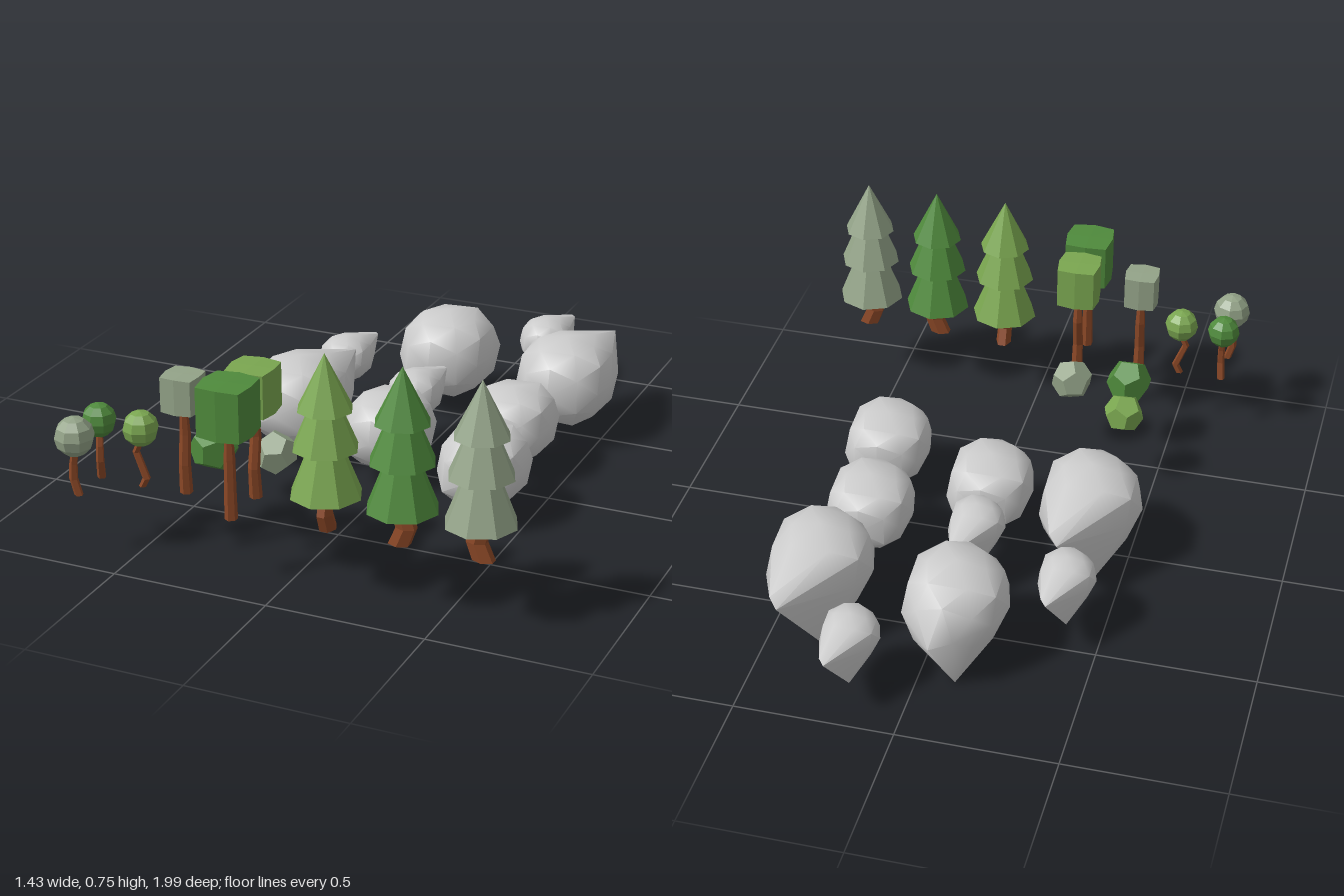
import * as THREE from 'three';
import { toCreasedNormals } from 'three/addons/utils/BufferGeometryUtils.js';
import { ConvexGeometry } from 'three/addons/geometries/ConvexGeometry.js';

const flat = (color) => new THREE.MeshStandardMaterial({ color, flatShading: true });
const dark = flat(0x4f8a3c), light = flat(0x7aa650), sage = flat(0x93a388), bark = flat(0x8a4726);
const stone = new THREE.MeshStandardMaterial({ color: 0xcccccc });
const GROUND = 0.205; // height at which all plants stand

function add(parent, name, geometry, material, x = 0, y = 0, z = 0) {
  const mesh = new THREE.Mesh(geometry, material);
  mesh.name = name;
  mesh.position.set(x, y, z);
  parent.add(mesh);
  return mesh;
}

function plant(parent, name, x, z, turn = 0) {
  const group = new THREE.Group();
  group.name = name;
  group.position.set(x, GROUND, z);
  group.rotation.y = turn;
  parent.add(group);
  return group;
}

// Bent trunk: one [x, y, z, radius] ring per path point
function trunkGeometry(path, sides = 6) {
  const geo = new THREE.CylinderGeometry(1, 1, 1, sides, path.length - 1);
  const pos = geo.attributes.position;
  for (let i = 0; i < pos.count; i++) {
    const ring = Math.round((pos.getY(i) + 0.5) * (path.length - 1));
    const [x, y, z, r] = path[ring];
    pos.setXYZ(i, x + pos.getX(i) * r, y, z + pos.getZ(i) * r);
  }
  geo.computeVertexNormals();
  return geo;
}

// Conifer: kinked trunk and three stacked cones
function pine(parent, x, z, leaf, turn) {
  const tree = plant(parent, 'pineTree', x, z, turn);
  const trunk = add(tree, 'trunk', trunkGeometry(
    [[-0.01, 0, 0, 0.036], [0.012, 0.055, 0, 0.034], [-0.006, 0.12, 0, 0.034]]), bark);
  trunk.scale.z = 0.72;
  for (const [base, radius, height] of [[0.113, 0.11, 0.28], [0.26, 0.1, 0.24], [0.38, 0.084, 0.17]]) {
    add(tree, 'foliageTier', new THREE.ConeGeometry(radius, height, 8), leaf, 0, base + height / 2, 0);
  }
}

// Cube foliage with the upright edges pulled in
function cubeFoliage(w, h) {
  const geo = new THREE.BoxGeometry(w, h, w, 2, 2, 2);
  const pos = geo.attributes.position;
  for (let i = 0; i < pos.count; i++) {
    const [x, y, z] = [pos.getX(i), pos.getY(i), pos.getZ(i)];
    if (Math.abs(x * z) > 1e-6) pos.setXYZ(i, x * 0.88, y * 0.97, z * 0.88);
  }
  return geo;
}

function cubeTree(parent, x, z, leaf, w, bottom, top, bend) {
  const tree = plant(parent, 'cubeTree', x, z);
  const h = bottom - GROUND;
  add(tree, 'trunk', trunkGeometry([[0, 0, 0, 0.02], [0, h * 0.35, bend, 0.018],
    [0, h * 0.7, -bend, 0.017], [0, h + 0.02, 0, 0.011]]), bark);
  add(tree, 'foliage', cubeFoliage(w, top - bottom), leaf, 0, (bottom + top) / 2 - GROUND, 0);
}

// Small tree with a ball crown
function ballTree(parent, x, z, leaf, r, path) {
  const tree = plant(parent, 'ballTree', x, z);
  add(tree, 'trunk', trunkGeometry(path, 5), bark);
  add(tree, 'foliage', new THREE.SphereGeometry(r, 8, 6), leaf, 0, 0.19, 0);
}

// Rock: hull around a squarish ellipsoid plus optional pointed tips
function rock(parent, name, [cx, cy, cz], [rx, ry, rz], tips, power) {
  const pos = new THREE.IcosahedronGeometry(1, 1).attributes.position;
  const bulge = (v) => Math.sign(v) * Math.abs(v) ** power;
  const points = tips.map((t) => new THREE.Vector3(...t));
  const seen = new Set();
  for (let i = 0; i < pos.count; i++) {
    const [x, y, z] = [pos.getX(i), pos.getY(i), pos.getZ(i)];
    const key = [x, y, z].map((v) => Math.round(v * 1000)).join();
    if (seen.has(key)) continue;
    seen.add(key);
    const k = 1 + 0.035 * Math.sin(5 * x + 3 * y + 7 * z); // slight unevenness
    points.push(new THREE.Vector3(bulge(x) * rx * k, bulge(y) * ry * k, bulge(z) * rz * k));
  }
  add(parent, name, toCreasedNormals(new ConvexGeometry(points), 0.75), stone, cx, cy, cz);
}

export function createModel() {
  const model = new THREE.Group();
  model.name = 'natureSet';

  pine(model, 0.125, 0.845, light, -Math.PI / 2);
  pine(model, 0.365, 0.845, dark, 0);
  pine(model, 0.605, 0.845, sage, Math.PI);

  cubeTree(model, -0.365, 0.785, sage, 0.113, 0.475, 0.588, 0.004);
  cubeTree(model, -0.16, 0.893, dark, 0.157, 0.48, 0.638, 0);
  cubeTree(model, -0.16, 0.732, light, 0.14, 0.487, 0.628, 0.008);

  ballTree(model, -0.655, 0.93, sage, 0.062,
    [[0.005, 0, 0, 0.014], [-0.01, 0.05, 0, 0.014], [-0.008, 0.1, 0, 0.013], [0, 0.15, 0, 0.011]]);
  ballTree(model, -0.65, 0.795, dark, 0.054,
    [[0, 0, 0, 0.014], [0.005, 0.06, 0.012, 0.013], [0.005, 0.11, 0.01, 0.012], [0, 0.15, 0, 0.011]]);
  ballTree(model, -0.505, 0.8, light, 0.056,
    [[0, 0, 0, 0.013], [0.014, 0.028, 0, 0.013], [-0.018, 0.11, 0, 0.012], [0, 0.15, 0, 0.011]]);

  // Faceted bushes
  for (const [x, z, r, leaf, turn] of [[-0.39, 0.41, 0.067, light, 0.3],
    [-0.368, 0.6, 0.076, dark, 0], [-0.18, 0.56, 0.07, sage, 0.9]]) {
    const bush = add(model, 'bush', new THREE.DodecahedronGeometry(r, 0), leaf, x, 0.275, z);
    bush.rotation.set(0, turn, turn * 0.5);
  }

  // Large rocks with a wedge-shaped tail
  for (const [x, z] of [[-0.37, 0], [0.37, -0.505]]) {
    rock(model, 'largeRock', [x, 0.205, z], [0.163, 0.147, 0.182],
      [[0.04, 0.05, -0.32], [0.07, 0.07, -0.29], [-0.04, -0.2, -0.15]], 0.85);
  }
  rock(model, 'largeRock', [-0.08, 0.205, -0.575], [0.162, 0.147, 0.185],
    [[0.03, -0.03, -0.225], [-0.04, -0.01, -0.2], [-0.035, -0.2, -0.155]], 0.85);

  // Small pointed rocks
  for (const [x, z] of [[0.185, -0.81], [-0.38, -0.385], [-0.045, -0.195]]) {
    rock(model, 'smallRock', [x, 0.2, z], [0.09, 0.078, 0.1],
      [[0.025, 0.025, -0.19], [0.045, 0.03, -0.165], [-0.02, -0.115, -0.09]], 0.9);
  }

  // Rounded boulders
  for (const [x, z] of [[0.315, -0.155], [-0.03, 0.047], [0.355, 0.192]]) {
    rock(model, 'boulder', [x, 0.178, z], [0.137, 0.12, 0.157], [], 0.75);
  }
  return model;
}
